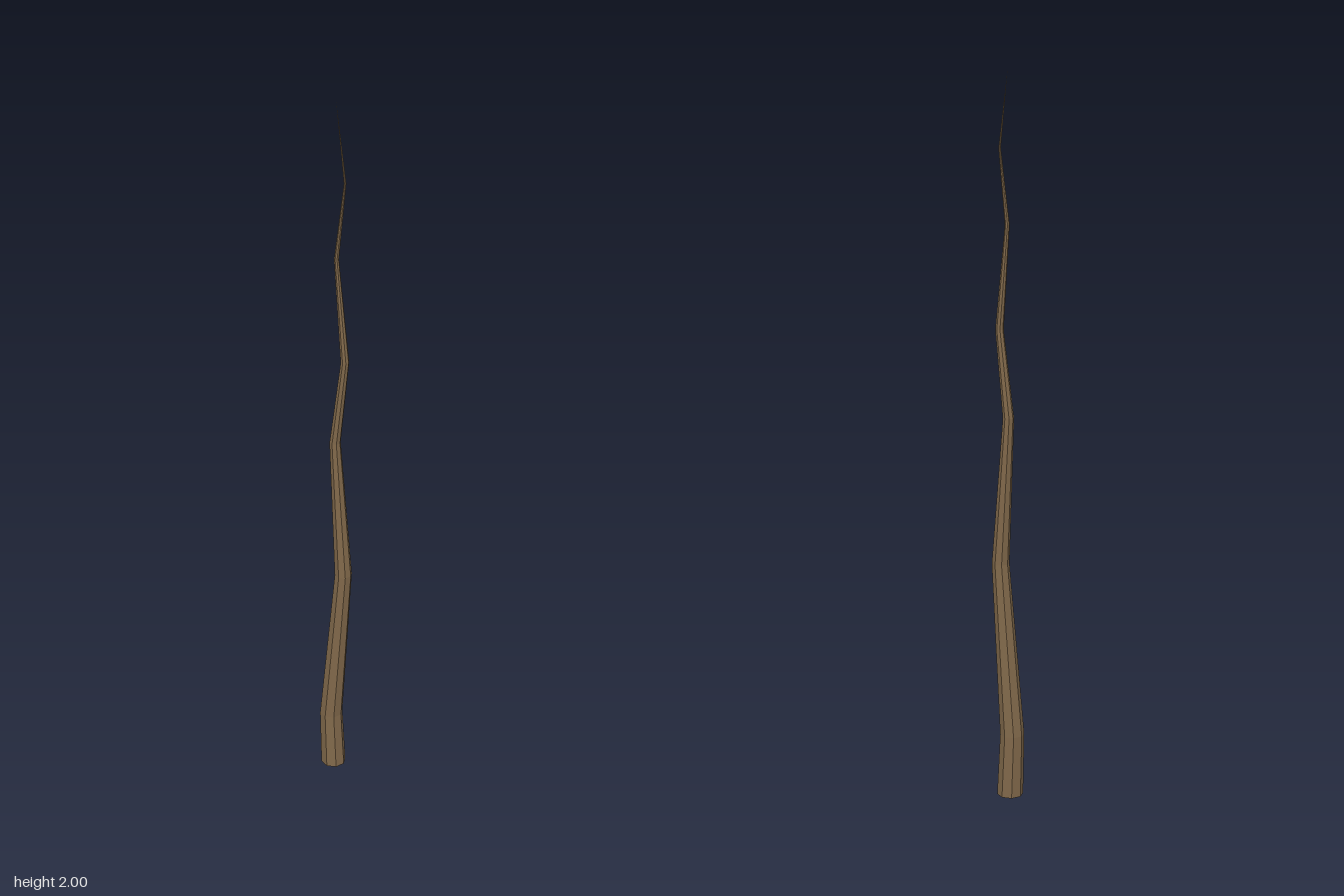
import * as THREE from 'three';

// Joints of the crooked stick from base to tip: [height, sideways shift, radius]
const JOINTS = [
  [0, -0.009, 0.037],
  [0.18, -0.016, 0.034],
  [0.67, 0.023, 0.0247],
  [1.08, -0.003, 0.0155],
  [1.32, 0.026, 0.0115],
  [1.6, 0.001, 0.0065],
  [1.8, 0.025, 0.0032],
  [2, 0, 0],
];
const SIDES = 8;

function createStickGeometry() {
  const rows = JOINTS.length - 1;
  // Unit-radius segmented cylinder, one row per joint, open at the pointed tip
  const geometry = new THREE.CylinderGeometry(0, 1, rows, SIDES, rows);
  geometry.rotateY(THREE.MathUtils.degToRad(-5));
  const pos = geometry.attributes.position;
  for (let i = 0; i < pos.count; i++) {
    const row = Math.round(pos.getY(i) + rows / 2);
    const [y, shift, radius] = JOINTS[row];
    const rowRadius = 1 - row / rows;
    const scale = rowRadius > 0 ? radius / rowRadius : 0;
    pos.setXYZ(i, shift + pos.getX(i) * scale, y, pos.getZ(i) * scale);
  }
  geometry.computeVertexNormals();
  return geometry;
}

export function createModel() {
  const model = new THREE.Group();
  model.name = 'crookedStick';

  // Tapering faceted wooden shaft
  const wood = new THREE.MeshStandardMaterial({ color: 0x80684a, flatShading: true });
  const shaft = new THREE.Mesh(createStickGeometry(), wood);
  shaft.name = 'shaft';
  model.add(shaft);

  return model;
}
